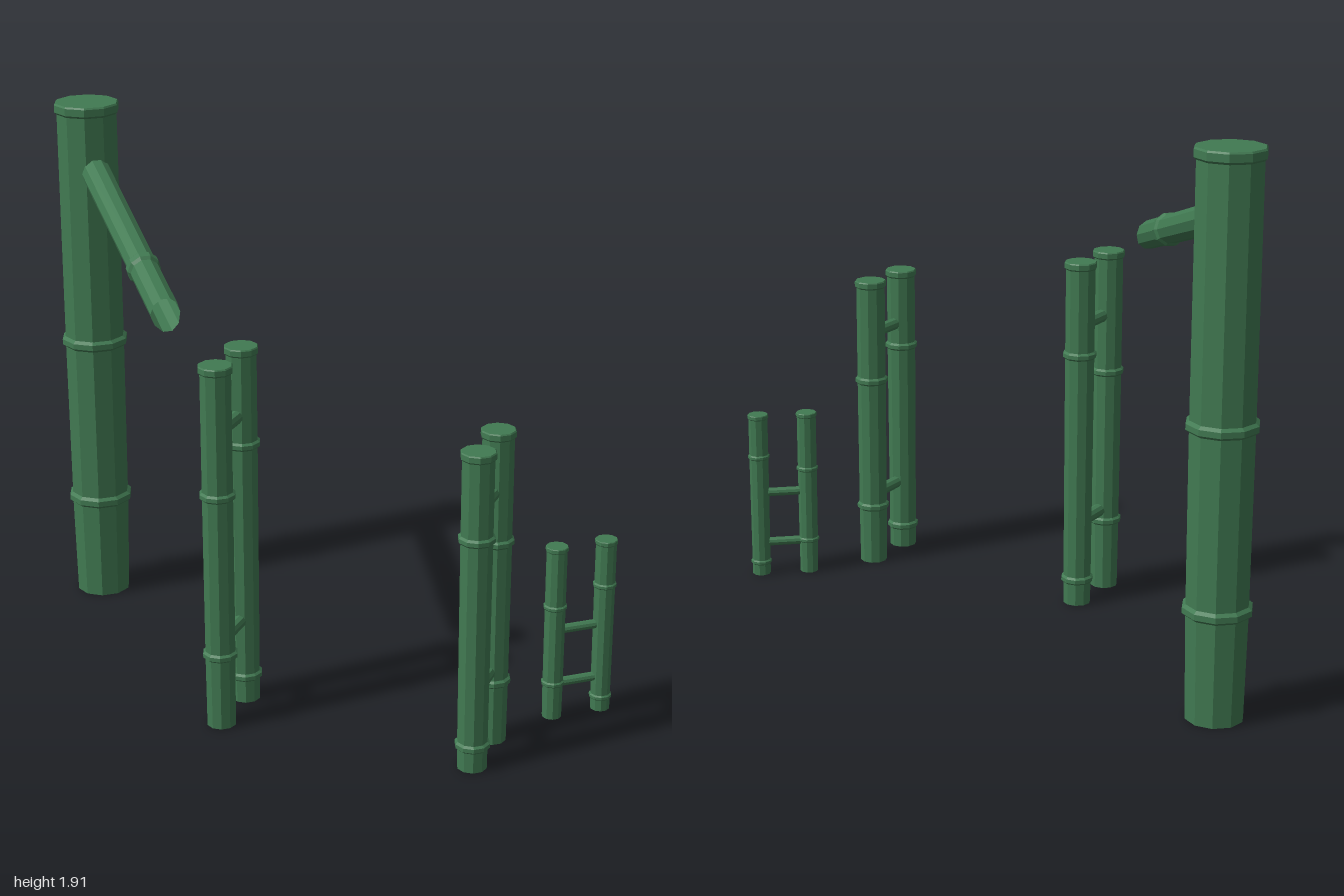
import * as THREE from 'three';

const SIDES = 10;
const material = new THREE.MeshStandardMaterial({
  color: 0x417a52, flatShading: true, side: THREE.DoubleSide,
});

// Lathed stalk along +y with raised joints at the given heights
function stalkGeometry(bottom, top, height, joints, { ring = 0.01, half = 0.018, rim = true } = {}) {
  const radiusAt = (y) => bottom + (top - bottom) * Math.min(1, y / (height * 0.3));
  const profile = [[bottom, 0]];
  for (const y of [...joints].sort((a, b) => a - b)) {
    const r = radiusAt(y);
    profile.push([r, y - half], [r + ring, y - half * 0.5], [r + ring, y + half * 0.5], [r, y + half]);
  }
  if (rim) {
    const lip = top + ring * 0.7;
    profile.push([top, height - half * 2], [lip, height - half * 1.6], [lip, height - half * 0.3],
      [lip - ring * 0.4, height], [0, height]);
  } else {
    profile.push([top, height]);
  }
  return new THREE.LatheGeometry(profile.map(([r, y]) => new THREE.Vector2(r, y)), SIDES, Math.PI / 2);
}

function addMesh(parent, name, geometry) {
  const mesh = new THREE.Mesh(geometry, material);
  mesh.name = name;
  parent.add(mesh);
  return mesh;
}

// Place a +y geometry so it runs from one point towards another
function aim(mesh, from, to) {
  mesh.position.copy(from);
  mesh.quaternion.setFromUnitVectors(new THREE.Vector3(0, 1, 0), to.clone().sub(from).normalize());
}

// Two stalks joined by crossbars
function stalkPair(name, { a, b, height, radius, jointsA, jointsB, rungs, rungRadius, ring, half }) {
  const pair = new THREE.Group();
  pair.name = name;
  [[a, jointsA, 'firstStalk'], [b, jointsB, 'secondStalk']].forEach(([p, joints, label]) => {
    const geometry = stalkGeometry(radius * 0.94, radius, height, joints, { ring, half });
    addMesh(pair, label, geometry).position.set(p[0], 0, p[1]);
  });
  for (const y of rungs) {
    const from = new THREE.Vector3(a[0], y, a[1]);
    const to = new THREE.Vector3(b[0], y, b[1]);
    const bar = new THREE.CylinderGeometry(rungRadius, rungRadius, from.distanceTo(to), SIDES);
    bar.translate(0, from.distanceTo(to) / 2, 0);
    aim(addMesh(pair, 'crossbar', bar), from, to);
  }
  return pair;
}

export function createModel() {
  const model = new THREE.Group();
  model.name = 'bambooFountain';

  // Thick main post
  const post = stalkGeometry(0.1, 0.111, 1.91, [0.385, 1.01], { ring: 0.012, half: 0.02 });
  addMesh(model, 'mainPost', post).position.set(-0.643, 0, -0.875);

  // Sloping open spout, its end cut so the lower lip reaches further
  const start = new THREE.Vector3(-0.638, 1.69, -0.86);
  const end = new THREE.Vector3(-0.638, 1.41, 0.115);
  const length = start.distanceTo(end);
  const spout = stalkGeometry(0.053, 0.051, length, [0.735], { ring: 0.008, half: 0.024, rim: false });
  const pos = spout.attributes.position;
  for (let i = 0; i < pos.count; i++) {
    if (pos.getY(i) > length - 0.001) {
      const down = pos.getZ(i) / 0.051;
      pos.setY(i, length + (down > 0.5 ? 0.04 * down : 0.01 * down));
    }
  }
  const spoutMesh = addMesh(model, 'spout', spout);
  aim(spoutMesh, start, end);

  // Tall, middle and short pairs
  model.add(stalkPair('tallPair', {
    a: [-0.545, 0.367], b: [-0.407, 0.207], height: 1.3, radius: 0.054,
    jointsA: [0.265, 0.845], jointsB: [0.095, 0.955],
    rungs: [0.31, 1.062], rungRadius: 0.024, ring: 0.008, half: 0.014,
  }));
  model.add(stalkPair('middlePair', {
    a: [0.145, 0.937], b: [0.282, 0.778], height: 1.12, radius: 0.054,
    jointsA: [0.085, 0.82], jointsB: [0.225, 0.73],
    rungs: [0.268, 0.912], rungRadius: 0.023, ring: 0.008, half: 0.014,
  }));
  model.add(stalkPair('shortPair', {
    a: [0.543, 0.697], b: [0.726, 0.697], height: 0.637, radius: 0.036,
    jointsA: [0.13, 0.415], jointsB: [0.05, 0.47],
    rungs: [0.125, 0.325], rungRadius: 0.016, ring: 0.005, half: 0.009,
  }));
  return model;
}
